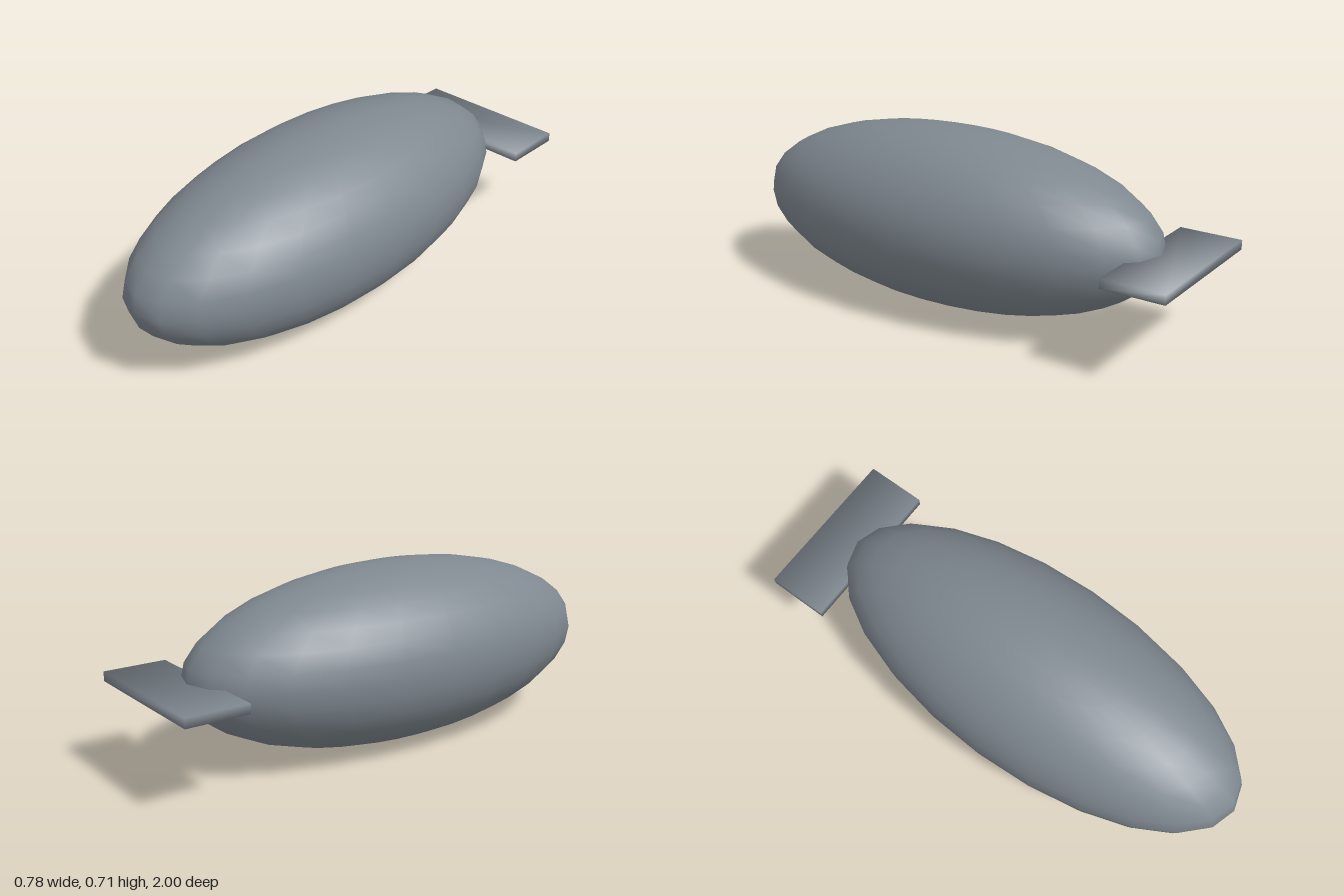
import * as THREE from 'three';

export function createModel() {
  const group = new THREE.Group();
  group.name = 'finnedBody';

  const slate = new THREE.MeshStandardMaterial({ color: 0x7f8890 });
  slate.name = 'slate grey';

  // Long ellipsoid body with its poles at top and bottom
  const bodyGeometry = new THREE.SphereGeometry(1, 24, 16);
  bodyGeometry.scale(0.39, 0.354, 0.917);
  const body = new THREE.Mesh(bodyGeometry, slate);
  body.name = 'body';
  body.position.set(0, 0.355, 0.083);
  group.add(body);

  // Flat tail fin, with corner normals pointing outward for soft shading
  const finGeometry = new THREE.BoxGeometry(0.63, 0.037, 0.245);
  const { position, normal } = finGeometry.attributes;
  const k = 1 / Math.sqrt(3);
  for (let i = 0; i < position.count; i++) {
    normal.setXYZ(
      i,
      Math.sign(position.getX(i)) * k,
      Math.sign(position.getY(i)) * k,
      Math.sign(position.getZ(i)) * k
    );
  }
  const fin = new THREE.Mesh(finGeometry, slate);
  fin.name = 'tailFin';
  fin.position.set(0, 0.357, -0.8775);
  group.add(fin);

  return group;
}
